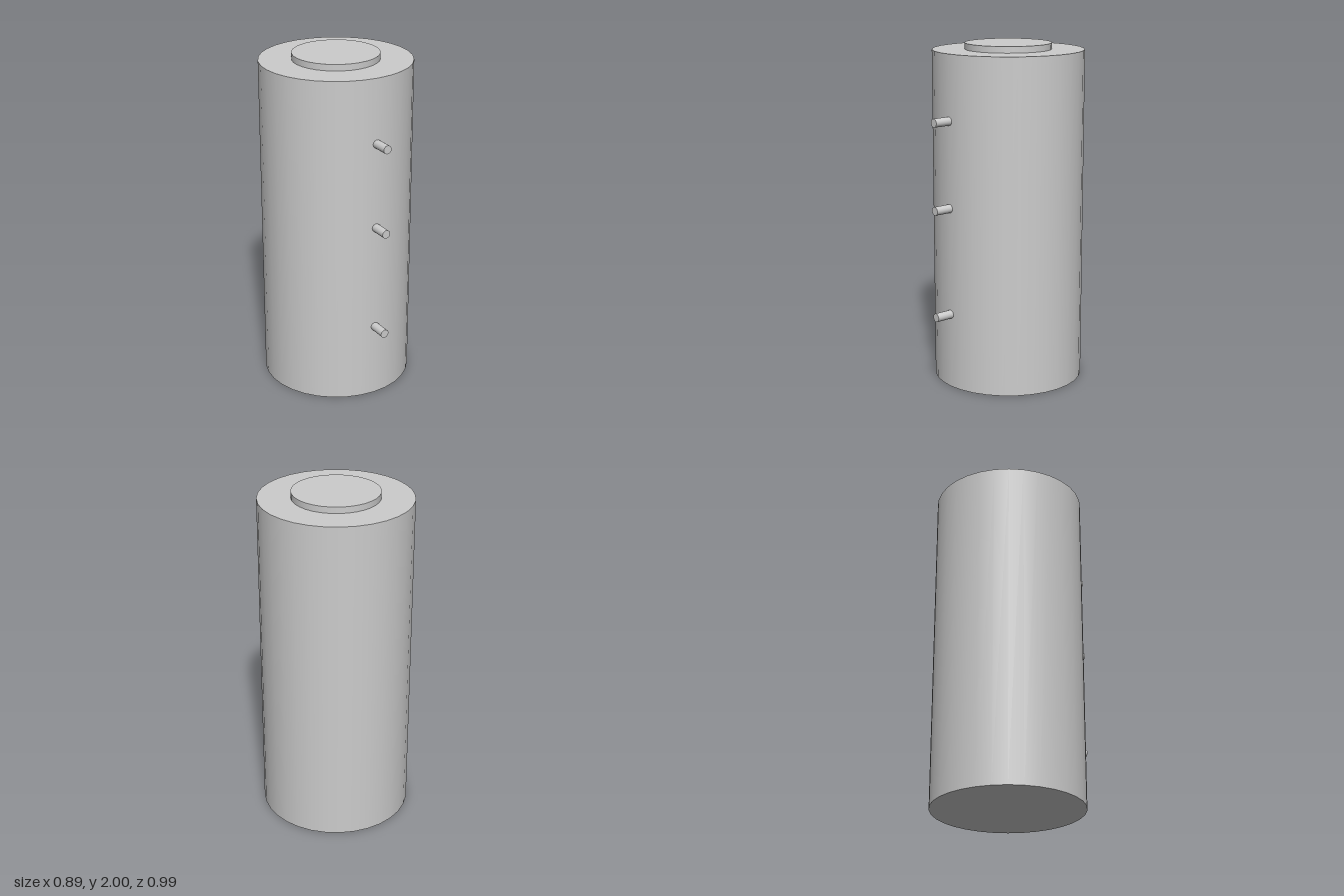
import * as THREE from 'three';

const SEGMENTS = 32;
const AXIS_Z = -0.053; // tank axis, set back to make room for the pipes
const BODY_RADIUS = 0.443;
const BODY_HEIGHT = 1.963;
const FRONT_Z = 0.496;

export function createModel() {
  const model = new THREE.Group();
  model.name = 'storageTank';
  const material = new THREE.MeshStandardMaterial({ color: 0xcccccc });

  const addCylinder = (name, radius, length, segments, x, y, z) => {
    const mesh = new THREE.Mesh(new THREE.CylinderGeometry(radius, radius, length, segments), material);
    mesh.name = name;
    mesh.position.set(x, y, z);
    model.add(mesh);
    return mesh;
  };

  // Upright tank body
  addCylinder('tankBody', BODY_RADIUS, BODY_HEIGHT, SEGMENTS, 0, BODY_HEIGHT / 2, AXIS_Z);

  // Shallow round lid on top
  const lidHeight = 2 - BODY_HEIGHT;
  addCylinder('lid', 0.253, lidHeight, SEGMENTS, 0, BODY_HEIGHT + lidHeight / 2, AXIS_Z);

  // Three connection pipes up the front, sunk slightly into the wall
  const pipeStart = AXIS_Z + BODY_RADIUS - 0.02;
  const pipeLength = FRONT_Z - pipeStart;
  [['lowerPipe', 0.447], ['middlePipe', 1.08], ['upperPipe', 1.585]].forEach(([name, y]) => {
    const pipe = addCylinder(name, 0.025, pipeLength, SEGMENTS, 0, y, pipeStart + pipeLength / 2);
    pipe.rotation.x = Math.PI / 2;
  });

  return model;
}
